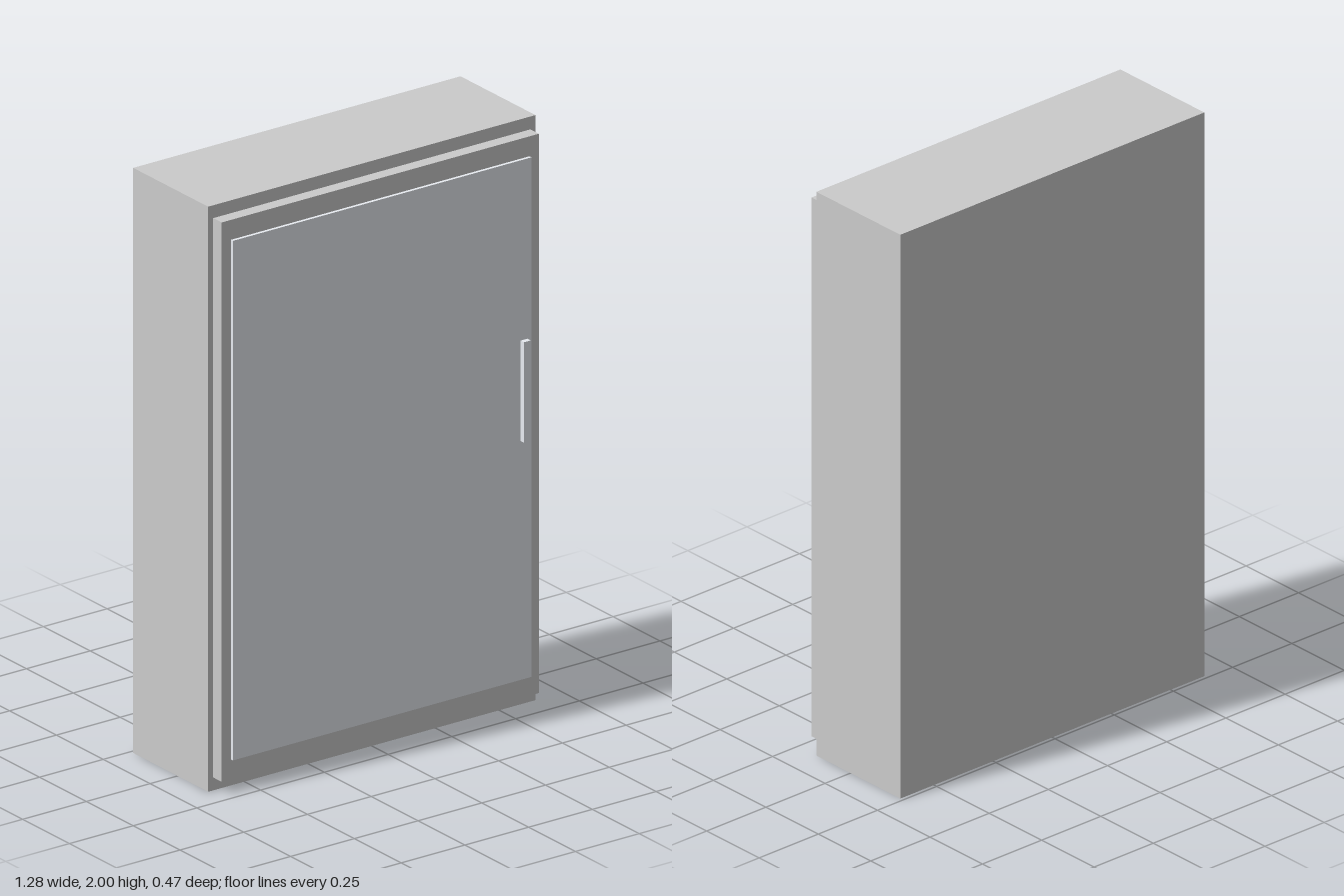
import * as THREE from 'three';

export function createModel() {
  const cabinet = new THREE.Group();
  cabinet.name = 'cabinet';

  const casing = new THREE.MeshStandardMaterial({ color: 0xc8c8c8 });
  const pale = new THREE.MeshStandardMaterial({ color: 0xe8ecf1 });

  // Adds a box given by its extents along each axis
  function addBox(name, [x0, x1], [y0, y1], [z0, z1], material) {
    const mesh = new THREE.Mesh(new THREE.BoxGeometry(x1 - x0, y1 - y0, z1 - z0), material);
    mesh.position.set((x0 + x1) / 2, (y0 + y1) / 2, (z0 + z1) / 2);
    mesh.name = name;
    cabinet.add(mesh);
  }

  // Main case, then the door, its panel and its handle layered on the front
  addBox('body', [-0.642, 0.642], [0, 2], [-0.237, 0.163], casing);
  addBox('door', [-0.622, 0.622], [0.044, 1.956], [0.163, 0.208], casing);
  addBox('doorPanel', [-0.586, 0.586], [0.112, 1.888], [0.208, 0.219], pale);
  addBox('handle', [0.543, 0.569], [0.928, 1.272], [0.219, 0.237], pale);

  return cabinet;
}
